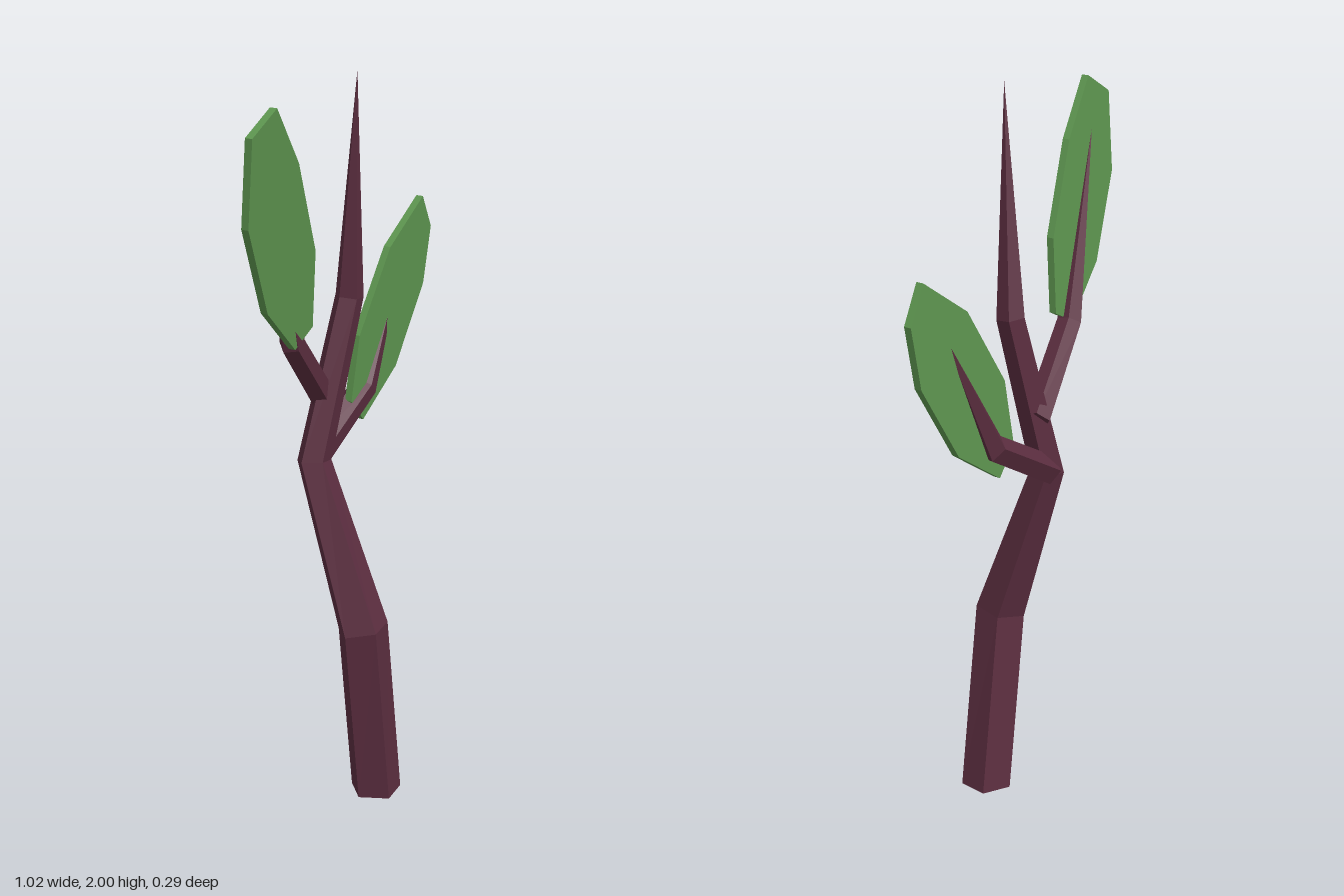
import * as THREE from 'three';

const bark = new THREE.MeshStandardMaterial({ color: 0x5c2e40, flatShading: true });
const foliage = new THREE.MeshStandardMaterial({ color: 0x5e9650, flatShading: true });
const SIDES = 5;
const UP = new THREE.Vector3(0, 1, 0);

// Tapering five-sided limb through rings [x, y, z, radius]; the last ring is a point
function limb(name, rings, flatBase) {
  const pts = rings.map(r => new THREE.Vector3(r[0], r[1], r[2]));
  const step = i => pts[i + 1].clone().sub(pts[i]).normalize();
  const pos = [], idx = [], last = rings.length - 1;
  rings.forEach((r, i) => {
    let dir = i === 0 ? step(0) : step(i - 1);
    if (i > 0 && i < last) dir.add(step(i)).normalize();
    if (i === 0 && flatBase) dir = UP;
    const q = new THREE.Quaternion().setFromUnitVectors(UP, dir);
    for (let k = 0; k < SIDES; k++) {
      const a = 0.7 + (k / SIDES) * Math.PI * 2;
      const v = new THREE.Vector3(Math.cos(a) * r[3], 0, Math.sin(a) * r[3]);
      pos.push(...v.applyQuaternion(q).add(pts[i]).toArray());
    }
  });
  for (let i = 0; i < last; i++) {
    for (let k = 0; k < SIDES; k++) {
      const a = i * SIDES + k, b = i * SIDES + (k + 1) % SIDES;
      idx.push(a, a + SIDES, b);
      if (rings[i + 1][3] > 0) idx.push(b, a + SIDES, b + SIDES);
    }
  }
  for (let k = 1; k < SIDES - 1; k++) idx.push(0, k, k + 1);   // base cap
  const indexed = new THREE.BufferGeometry();
  indexed.setAttribute('position', new THREE.Float32BufferAttribute(pos, 3));
  indexed.setIndex(idx);
  const geo = indexed.toNonIndexed();
  geo.computeVertexNormals();
  const mesh = new THREE.Mesh(geo, bark);
  mesh.name = name;
  return mesh;
}

// Thin slab leaf lying on the plane z = z0 + bx * (x - x0) + by * (y - y0), through outline[0]
function leaf(name, outline, z0, bx, by) {
  const thickness = 0.022;
  const shape = new THREE.Shape(outline.map(p => new THREE.Vector2(p[0], p[1])));
  const geo = new THREE.ExtrudeGeometry(shape, { depth: thickness, bevelEnabled: false });
  const p = geo.attributes.position;
  const [x0, y0] = outline[0];
  for (let i = 0; i < p.count; i++) {
    const lean = z0 + bx * (p.getX(i) - x0) + by * (p.getY(i) - y0);
    p.setZ(i, p.getZ(i) - thickness / 2 + lean);
  }
  geo.computeVertexNormals();
  const mesh = new THREE.Mesh(geo, foliage);
  mesh.name = name;
  return mesh;
}

export function createModel() {
  const sapling = new THREE.Group();
  sapling.name = 'sapling';

  // Crooked trunk ending in a spike
  sapling.add(limb('trunk', [
    [0.01, 0, 0.068, 0.072],
    [-0.062, 0.52, 0.075, 0.071],
    [-0.075, 0.97, -0.078, 0.048],
    [0.034, 1.405, -0.042, 0.039],
    [0, 2, 0.01, 0],
  ], true));

  // Side branches, each bent once and running into its leaf
  sapling.add(limb('leftBranch', [
    [-0.065, 0.97, -0.088, 0.04],
    [0.19, 1.107, -0.112, 0.039],
    [0.38, 1.465, -0.115, 0],
  ]));
  sapling.add(limb('rightBranch', [
    [-0.02, 1.125, -0.085, 0.037],
    [-0.225, 1.335, -0.027, 0.034],
    [-0.41, 1.83, 0.05, 0],
  ]));

  // Leaves
  sapling.add(leaf('leftLeaf', [
    [0.45, 1.595], [0.275, 1.485], [0.125, 1.27], [0.095, 1.09],
    [0.165, 1.02], [0.34, 1.13], [0.48, 1.34], [0.508, 1.5],
  ], -0.113, -0.13, 0.05));
  sapling.add(leaf('rightLeaf', [
    [-0.4, 1.96], [-0.51, 1.905], [-0.51, 1.69], [-0.4, 1.46],
    [-0.25, 1.33], [-0.163, 1.37], [-0.17, 1.57], [-0.28, 1.81],
  ], 0.068, -0.18, 0.076));

  return sapling;
}
